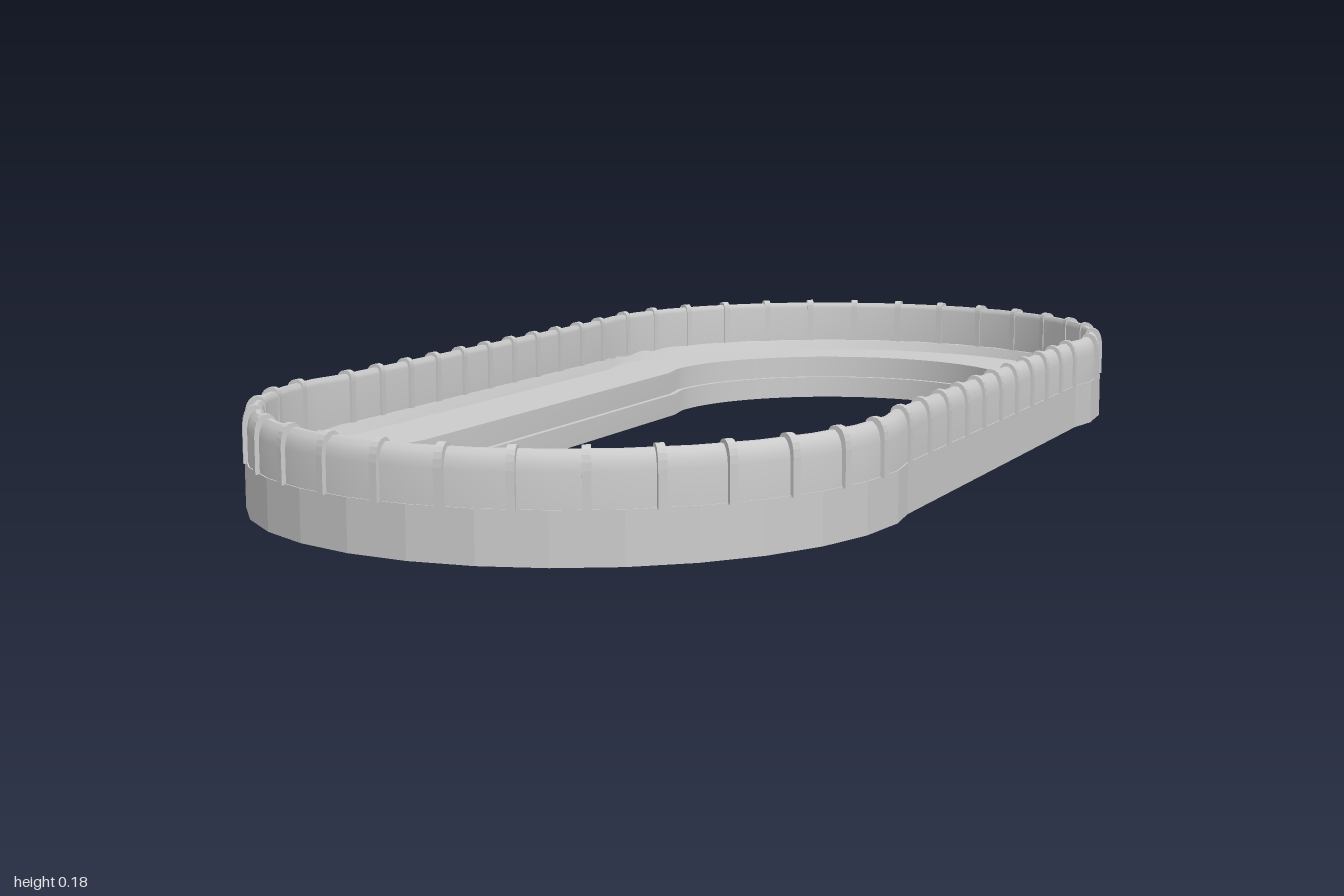
import * as THREE from 'three';
import { toCreasedNormals } from 'three/addons/utils/BufferGeometryUtils.js';

// Stadium paths: z of the end-arc centres, inset of the straights, facets per end
const WALL = { centre: 0.506, inset: 0.01, facets: 16 };
const OPENING = { centre: 0.5, inset: 0.012, facets: 32 };
const STRAIGHT = 0.44; // half length of the straights

// Stadium outline of radius r
function outline(r, { centre, inset, facets }) {
  const pts = [];
  for (const side of [1, -1]) {
    for (let i = 0; i <= facets; i++) {
      const a = (Math.PI * i) / facets;
      pts.push([side * r * Math.cos(a), side * (centre + r * Math.sin(a))]);
    }
    pts.push([-side * (r - inset), side * STRAIGHT], [-side * (r - inset), -side * STRAIGHT]);
  }
  return pts;
}

// Sweep a closed counter-clockwise profile of [radius, y] round the stadium
function sweep(profile, path, crease) {
  const positions = [], index = [];
  const loops = profile.map(([r]) => outline(r, path));
  const m = loops[0].length, k = profile.length;
  loops.forEach((loop, j) => loop.forEach(([x, z]) => positions.push(x, profile[j][1], z)));
  for (let j = 0; j < k; j++) {
    for (let i = 0; i < m; i++) {
      const i2 = (i + 1) % m, j2 = (j + 1) % k;
      const a = j * m + i, b = j * m + i2, d = j2 * m + i, e = j2 * m + i2;
      index.push(a, d, b, b, d, e);
    }
  }
  const g = new THREE.BufferGeometry();
  g.setAttribute('position', new THREE.Float32BufferAttribute(positions, 3));
  g.setIndex(index);
  return toCreasedNormals(g, crease);
}

export function createModel() {
  const group = new THREE.Group();
  const mat = new THREE.MeshStandardMaterial({ color: 0xcccccc });
  const add = (name, geometry, parent = group) => {
    const mesh = new THREE.Mesh(geometry, mat);
    mesh.name = name;
    parent.add(mesh);
    return mesh;
  };

  // Faceted outer wall: thin skirt below, rounded rail above
  add('outerSkirt', sweep([[0.477, 0.026], [0.489, 0.026], [0.489, 0.1], [0.477, 0.1]], WALL, 0.15));
  add('upperRail', sweep([
    [0.464, 0.09], [0.487, 0.09], [0.487, 0.148], [0.485, 0.16], [0.481, 0.169],
    [0.475, 0.175], [0.468, 0.175], [0.465, 0.171], [0.464, 0.165],
  ], WALL, 0.6));

  // Floor with a small bevel up to the wall, and the stepped skirt round the opening
  add('floor', sweep([[0.328, 0.062], [0.482, 0.062], [0.478, 0.1], [0.465, 0.098], [0.457, 0.08], [0.328, 0.08]], OPENING, 0.5));
  add('innerSkirt', sweep([
    [0.317, 0], [0.331, 0], [0.331, 0.07], [0.327, 0.08], [0.327, 0.04], [0.317, 0.04],
  ], OPENING, 0.5));

  // Thin ribs strapped over the rail
  const shape = new THREE.Shape();
  shape.moveTo(0.46, 0.098);
  shape.lineTo(0.491, 0.098);
  shape.lineTo(0.491, 0.15);
  shape.quadraticCurveTo(0.49, 0.181, 0.472, 0.181);
  shape.quadraticCurveTo(0.46, 0.181, 0.46, 0.165);
  shape.closePath();
  const rib = new THREE.ExtrudeGeometry(shape, { depth: 0.012, bevelEnabled: false, curveSegments: 5 });
  rib.translate(0, 0, -0.006);
  const ribs = new THREE.Group();
  ribs.name = 'ribs';
  group.add(ribs);
  for (const side of [1, -1]) {
    for (let i = 0; i < WALL.facets; i++) {
      const mesh = add('endRib', rib, ribs);
      mesh.rotation.y = -side * Math.PI * (i + 0.5) / WALL.facets;
      mesh.position.z = side * WALL.centre;
    }
    for (let i = 0; i < 11; i++) {
      const mesh = add('sideRib', rib, ribs);
      mesh.rotation.y = side > 0 ? 0 : Math.PI;
      mesh.position.set(-side * WALL.inset, 0, -0.43 + i * 0.086);
    }
  }
  return group;
}
